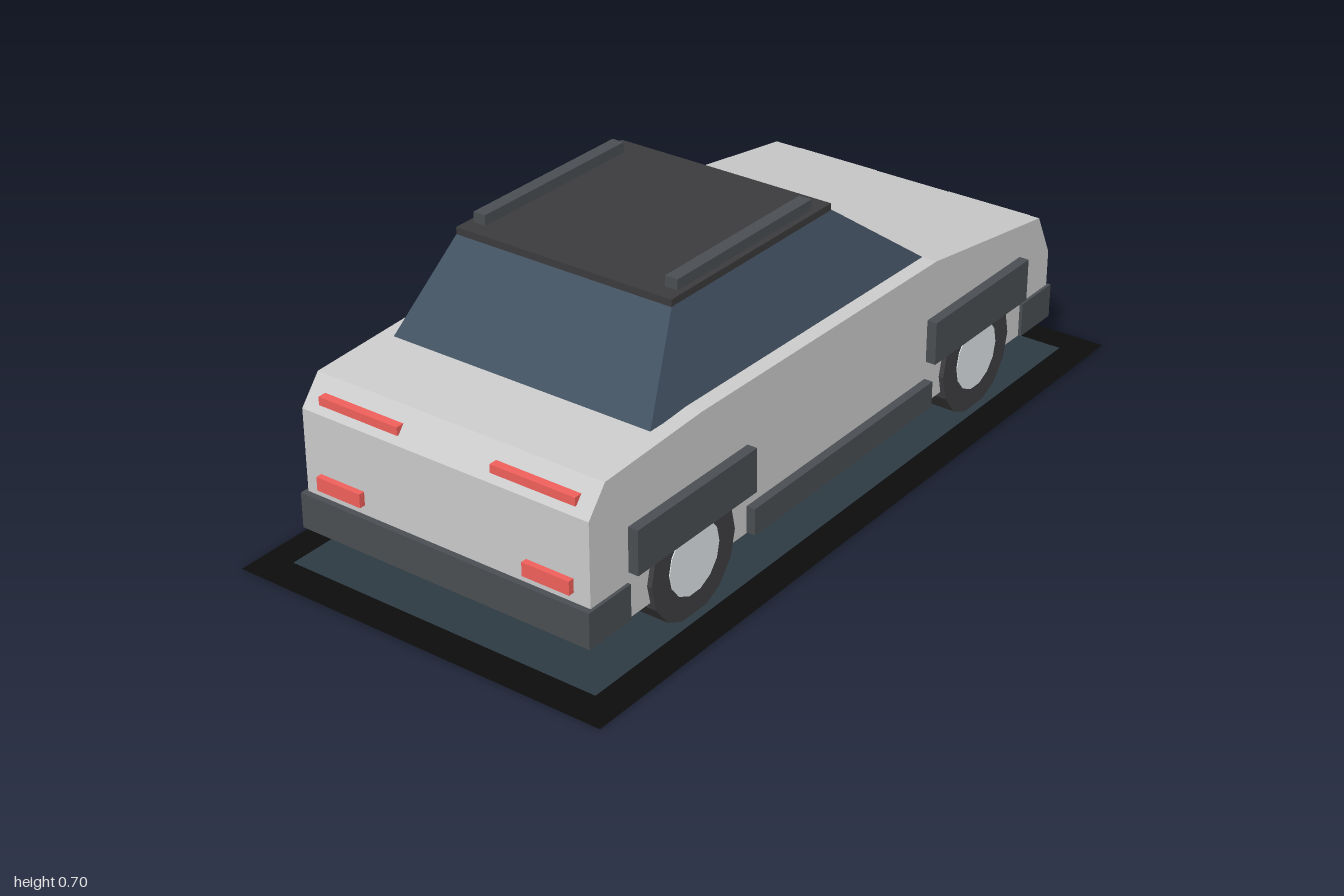
import * as THREE from 'three';

const paint = (color) => new THREE.MeshStandardMaterial({ color, flatShading: true });

export function createModel() {
  const car = new THREE.Group();
  car.name = 'car';

  const grey = paint(0xcccccc);
  const trim = paint(0x4a4e52);
  const glass = paint(0x435262);
  const roofPaint = paint(0x3b3a3c);
  const rubber = paint(0x3f3f41);
  const hubPaint = paint(0xe0e6e8);
  const red = paint(0xf0605a);

  const add = (name, geometry, material) => {
    const mesh = new THREE.Mesh(geometry, material);
    mesh.name = name;
    car.add(mesh);
    return mesh;
  };

  // Box given by its limits on each axis
  const box = (name, material, [x0, x1], [y0, y1], [z0, z1]) => {
    const mesh = add(name, new THREE.BoxGeometry(x1 - x0, y1 - y0, z1 - z0), material);
    mesh.position.set((x0 + x1) / 2, (y0 + y1) / 2, (z0 + z1) / 2);
    return mesh;
  };

  // Same box on the left (+x) and mirrored on the right
  const pair = (name, material, [x0, x1], ys, zs) => {
    box(name + 'Left', material, [x0, x1], ys, zs);
    box(name + 'Right', material, [-x1, -x0], ys, zs);
  };

  // Flat ground plate with a lighter inner panel
  const plate = (name, w, d, y, color) => {
    const material = paint(color);
    material.side = THREE.DoubleSide;
    const mesh = add(name, new THREE.PlaneGeometry(w, d).rotateX(-Math.PI / 2), material);
    mesh.position.y = y;
  };
  plate('groundPlate', 0.98, 2, 0.002, 0x0c0c0c);
  plate('groundPanel', 0.83, 1.84, 0.005, 0x2e3a42);

  // Body: side profile in (z, y), extruded across the width
  const profile = [
    [0.89, 0.095], [0.89, 0.383], [0.837, 0.449], [0.52, 0.463],
    [-0.372, 0.45], [-0.835, 0.382], [-0.89, 0.273], [-0.89, 0.095],
  ].map(([z, y]) => new THREE.Vector2(-z, y));
  const bodyShape = new THREE.Shape(profile);
  const bodyGeometry = new THREE.ExtrudeGeometry(bodyShape, { depth: 0.766, bevelEnabled: false });
  bodyGeometry.translate(0, 0, -0.383).rotateY(Math.PI / 2);
  add('body', bodyGeometry, grey);

  // Cabin: a box tapered towards the roof
  const cabinGeometry = new THREE.BoxGeometry(1, 1, 1);
  const p = cabinGeometry.attributes.position;
  for (let i = 0; i < p.count; i++) {
    const top = p.getY(i) > 0;
    const rear = p.getZ(i) > 0;
    const x = Math.sign(p.getX(i)) * (top ? 0.286 : 0.345);
    const z = rear ? (top ? 0.49 : 0.642) : (top ? -0.078 : -0.375);
    p.setXYZ(i, x, top ? 0.665 : (rear ? 0.46 : 0.448), z);
  }
  cabinGeometry.computeVertexNormals();
  add('cabinWindows', cabinGeometry, glass);

  // Roof and rails
  box('roof', roofPaint, [-0.287, 0.287], [0.661, 0.678], [-0.08, 0.493]);
  pair('roofRail', trim, [0.24, 0.272], [0.677, 0.703], [-0.027, 0.453]);

  // Bumpers and sills
  box('bumperRear', trim, [-0.391, 0.391], [0.096, 0.182], [0.77, 0.905]);
  box('bumperNose', trim, [-0.391, 0.391], [0.096, 0.182], [-0.898, -0.765]);
  pair('sill', trim, [0.375, 0.405], [0.097, 0.162], [-0.34, 0.36]);

  // Wheels with hubs and fender flares
  for (const z of [0.563, -0.547]) {
    pair('fenderFlare', trim, [0.375, 0.408], [0.205, 0.312], [z - 0.204, z + 0.204]);
    for (const side of [1, -1]) {
      const wheel = new THREE.Group();
      wheel.name = 'wheel';
      const tyre = new THREE.Mesh(
        new THREE.CylinderGeometry(0.144, 0.144, 0.12, 14).rotateZ(Math.PI / 2), rubber);
      tyre.name = 'tyre';
      const hub = new THREE.Mesh(
        new THREE.CylinderGeometry(0.086, 0.086, 0.124, 14).rotateZ(Math.PI / 2), hubPaint);
      hub.name = 'hub';
      wheel.add(tyre, hub);
      wheel.position.set(side * 0.335, 0.1404, z);
      car.add(wheel);
    }
  }

  // Red lights
  pair('upperRedLight', red, [0.124, 0.342], [0.4, 0.42], [0.858, 0.881]);
  pair('lowerRedLight', red, [0.219, 0.341], [0.205, 0.238], [0.88, 0.905]);

  // Nose: grille, headlights and slim lamps
  box('grille', trim, [-0.19, 0.19], [0.15, 0.292], [-0.9, -0.88]);
  pair('headlight', grey, [0.213, 0.342], [0.195, 0.272], [-0.902, -0.88]);
  pair('slimLamp', grey, [0.105, 0.337], [0.343, 0.362], [-0.874, -0.85]);

  return car;
}
